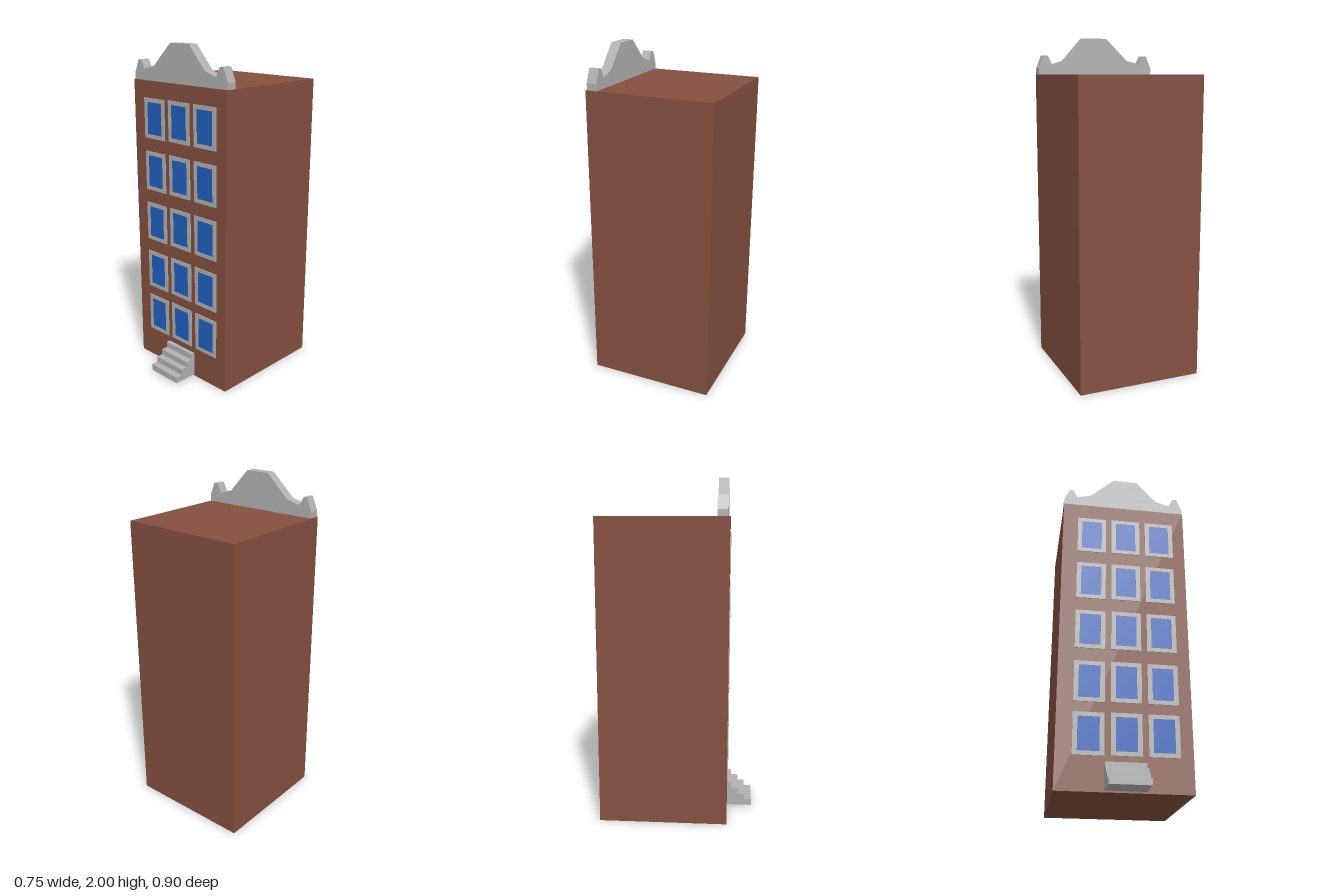
import * as THREE from 'three';

const paint = (color) => new THREE.MeshStandardMaterial({ color, flatShading: true });

function addMesh(parent, name, geometry, material, x = 0, y = 0, z = 0) {
  const mesh = new THREE.Mesh(geometry, material);
  mesh.name = name;
  mesh.position.set(x, y, z);
  parent.add(mesh);
  return mesh;
}

const outline = (points) => new THREE.Shape(points.map(([x, y]) => new THREE.Vector2(x, y)));

const rect = (w, h) => [[-w / 2, -h / 2], [w / 2, -h / 2], [w / 2, h / 2], [-w / 2, h / 2]];

const extrude = (shape, depth) => new THREE.ExtrudeGeometry(shape, { depth, bevelEnabled: false });

export function createModel() {
  const model = new THREE.Group();
  model.name = 'townhouse';
  const brick = paint(0x84503f);
  const stone = paint(0xb2b2b2);
  const blue = paint(0x2060c0);
  const wallZ = 0.3;

  // Brick block
  addMesh(model, 'building', new THREE.BoxGeometry(0.75, 1.78, 0.75), brick, 0, 0.89, -0.075);

  // Ornamental gable standing just behind the front edge of the roof
  const gable = outline([
    [-0.375, 1.78], [0.375, 1.78], [0.375, 1.818], [0.343, 1.895], [0.318, 1.895],
    [0.29, 1.84], [0.207, 1.866], [0.085, 2], [-0.065, 2], [-0.207, 1.866],
    [-0.292, 1.845], [-0.32, 1.895], [-0.342, 1.895], [-0.375, 1.818],
  ]);
  addMesh(model, 'gable', extrude(gable, 0.06), stone, 0, 0, 0.23);

  // Five rows of three framed windows
  const frameShape = outline(rect(0.173, 0.238));
  frameShape.holes.push(new THREE.Path(rect(0.12, 0.19).map(([x, y]) => new THREE.Vector2(x, y))));
  const frameGeometry = extrude(frameShape, 0.005);
  const glassGeometry = new THREE.BoxGeometry(0.12, 0.19, 0.004);
  const columns = [[-0.198, -0.003], [0.009, 0], [0.216, 0]];
  for (const y of [0.313, 0.611, 0.928, 1.247, 1.565]) {
    for (const [x, drop] of columns) {
      const pane = new THREE.Group();
      pane.name = 'window';
      pane.position.set(x, y + drop, wallZ);
      addMesh(pane, 'windowFrame', frameGeometry, stone);
      addMesh(pane, 'windowGlass', glassGeometry, blue, 0, 0, 0.002);
      model.add(pane);
    }
  }

  // Entrance steps: a stepped side profile drawn as (z, y), extruded across x
  const profile = [[0.3, 0.01], [0.45, 0.01]];
  const edges = [0.45, 0.407, 0.367, 0.325, 0.3];
  for (let i = 0; i < 4; i++) {
    const top = 0.048 + i * 0.036;
    profile.push([edges[i], top], [edges[i + 1], top]);
  }
  const steps = addMesh(model, 'frontSteps', extrude(outline(profile), 0.226), stone, 0.115);
  steps.rotation.y = -Math.PI / 2;

  return model;
}
